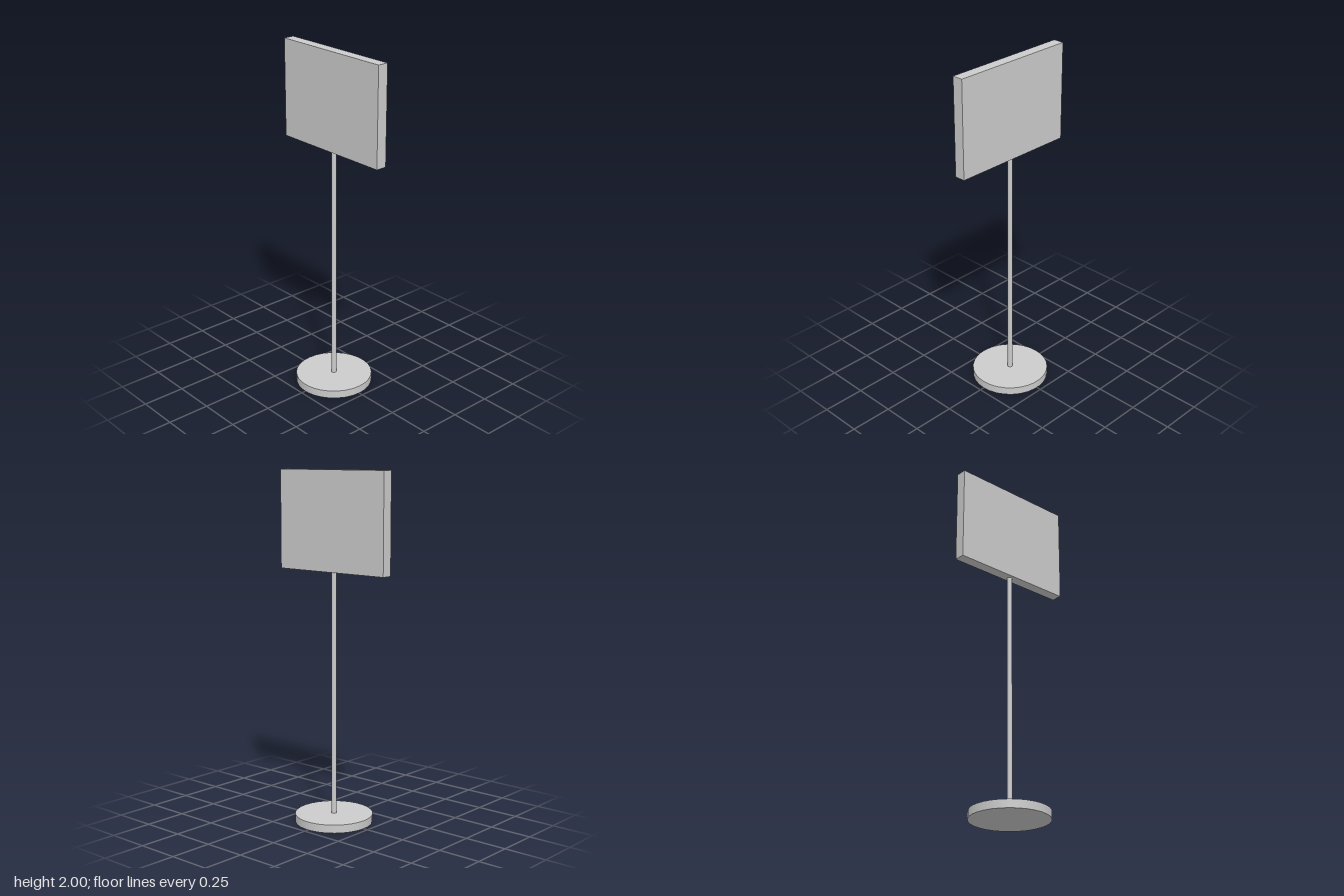
import * as THREE from 'three';

const SIDES = 30;

export function createModel() {
  const group = new THREE.Group();
  const material = new THREE.MeshStandardMaterial({ color: 0xcccccc });

  // Adds a part standing between two heights
  const add = (name, geometry, bottom, top) => {
    const mesh = new THREE.Mesh(geometry, material);
    mesh.name = name;
    mesh.position.y = (bottom + top) / 2;
    group.add(mesh);
    return mesh;
  };
  const disc = (radius, height) => new THREE.CylinderGeometry(radius, radius, height, SIDES);

  const baseTop = 0.047, panelBottom = 1.438, panelTop = 2;

  // Round foot, turned so that flats face front and back
  add('base', disc(0.223, baseTop), 0, baseTop).rotation.y = Math.PI / SIDES;

  // Thin upright
  add('pole', disc(0.0145, panelBottom - baseTop), baseTop, panelBottom).rotation.y = Math.PI / SIDES;

  // Flat sign board
  add('signPanel', new THREE.BoxGeometry(0.75, panelTop - panelBottom, 0.063), panelBottom, panelTop);

  return group;
}
